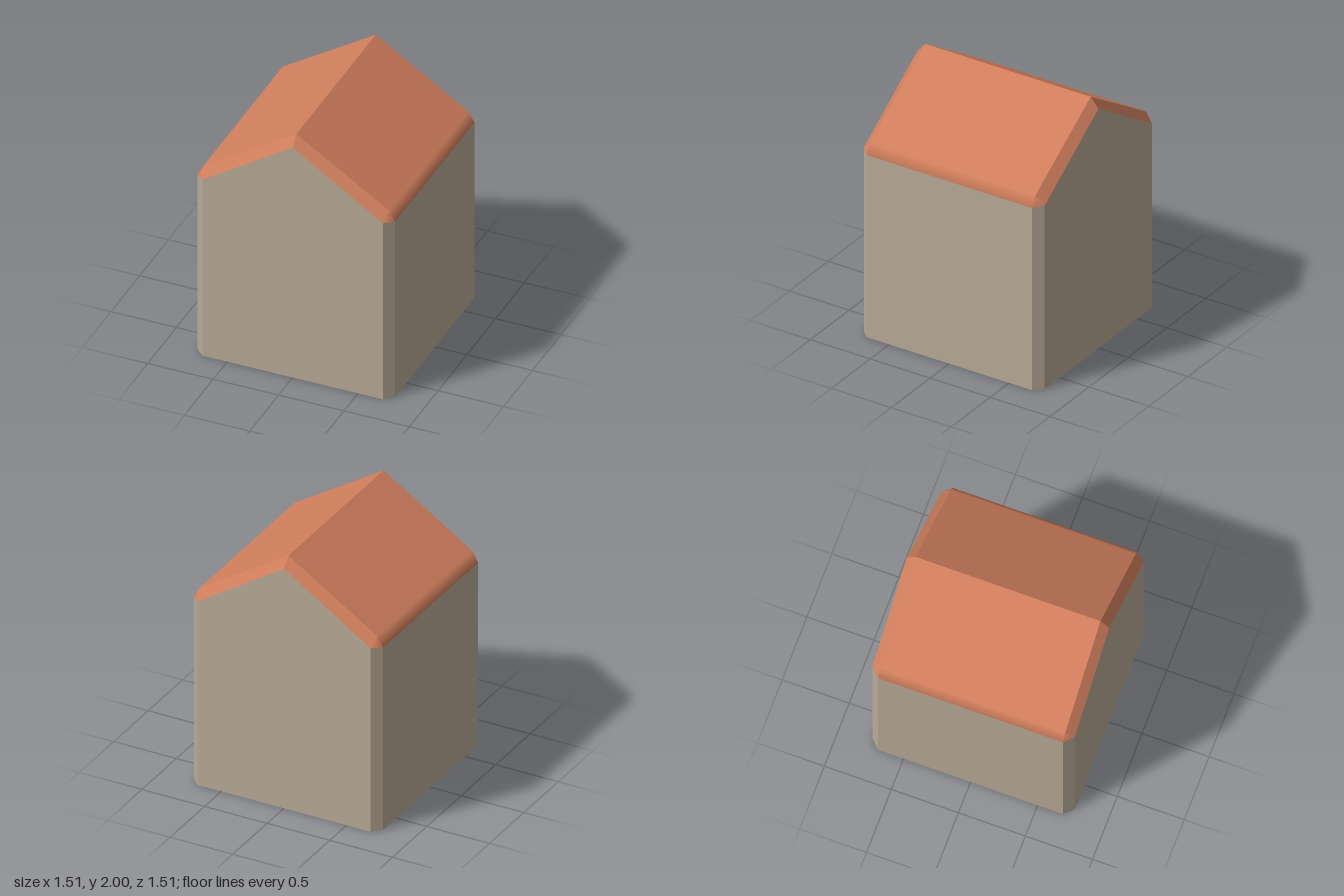
import * as THREE from 'three';

const OUT = 0.755; // outer half width and depth
const IN = 0.69;   // half width and depth inside the bevels

// One face of a quarter of the house, mirrored to all four quarters.
// normals holds one direction per corner, or a single one for a flat face.
function mirroredFaces(corners, normals) {
  const pos = [], nor = [];
  const flat = normals.length === 1;
  for (const sx of [1, -1]) for (const sz of [1, -1]) {
    const mirror = (v) => new THREE.Vector3(v[0] * sx, v[1], v[2] * sz);
    const p = corners.map(mirror);
    const n = corners.map((_, i) => mirror(normals[flat ? 0 : i]).normalize());
    const face = p[1].clone().sub(p[0]).cross(p[2].clone().sub(p[0]));
    const flip = face.dot(n[0]) < 0;
    for (let i = 1; i < p.length - 1; i++) {
      for (const k of flip ? [0, i + 1, i] : [0, i, i + 1]) {
        pos.push(...p[k].toArray());
        nor.push(...n[k].toArray());
      }
    }
  }
  const geo = new THREE.BufferGeometry();
  geo.setAttribute('position', new THREE.Float32BufferAttribute(pos, 3));
  geo.setAttribute('normal', new THREE.Float32BufferAttribute(nor, 3));
  return geo;
}

export function createModel() {
  const wall = new THREE.MeshStandardMaterial({ color: 0xb8aa96, side: THREE.DoubleSide });
  wall.name = 'beige wall';
  const tile = new THREE.MeshStandardMaterial({ color: 0xd07e5c, side: THREE.DoubleSide });
  tile.name = 'terracotta roof';

  const house = new THREE.Group();
  house.name = 'house';
  const add = (name, material, corners, ...normals) => {
    const mesh = new THREE.Mesh(mirroredFaces(corners, normals), material);
    mesh.name = name;
    house.add(mesh);
  };

  // Key points of the front left quarter
  const gableEave = [IN, 1.475, OUT], gablePeak = [0, 1.925, OUT];
  const sideTop = [OUT, 1.465, IN], sideTopMid = [OUT, 1.465, 0];
  const eave = [0.71, 1.545, IN], eaveMid = [0.71, 1.545, 0];
  const ridge = [0, 2, IN], ridgeMid = [0, 2, 0];

  // Walls, open underneath
  add('gableWalls', wall, [[0, 0, OUT], [IN, 0, OUT], gableEave, gablePeak], [0, 0, 1]);
  add('sideWalls', wall, [[OUT, 0, IN], [OUT, 0, 0], sideTopMid, sideTop], [1, 0, 0]);
  add('wallCorners', wall, [[IN, 0, OUT], [OUT, 0, IN], sideTop, gableEave], [1, 0, 1]);

  // Roof slopes with softly rounded eaves
  const slope = [0.54, 0.842, 0], side = [1, 0.05, 0];
  add('roofSlopes', tile, [ridge, eave, eaveMid, ridgeMid], slope);
  add('roofEaves', tile, [eave, sideTop, sideTopMid, eaveMid], slope, side, side, slope);

  // Bevelled roof ends and their corners
  const verge = [0.37, 0.57, 0.73];
  add('roofVerges', tile, [gablePeak, gableEave, eave, ridge], verge);
  add('roofCorners', tile, [gableEave, sideTop, eave], verge, [0.8, 0.3, 0.5], [0.6, 0.6, 0.5]);

  return house;
}
